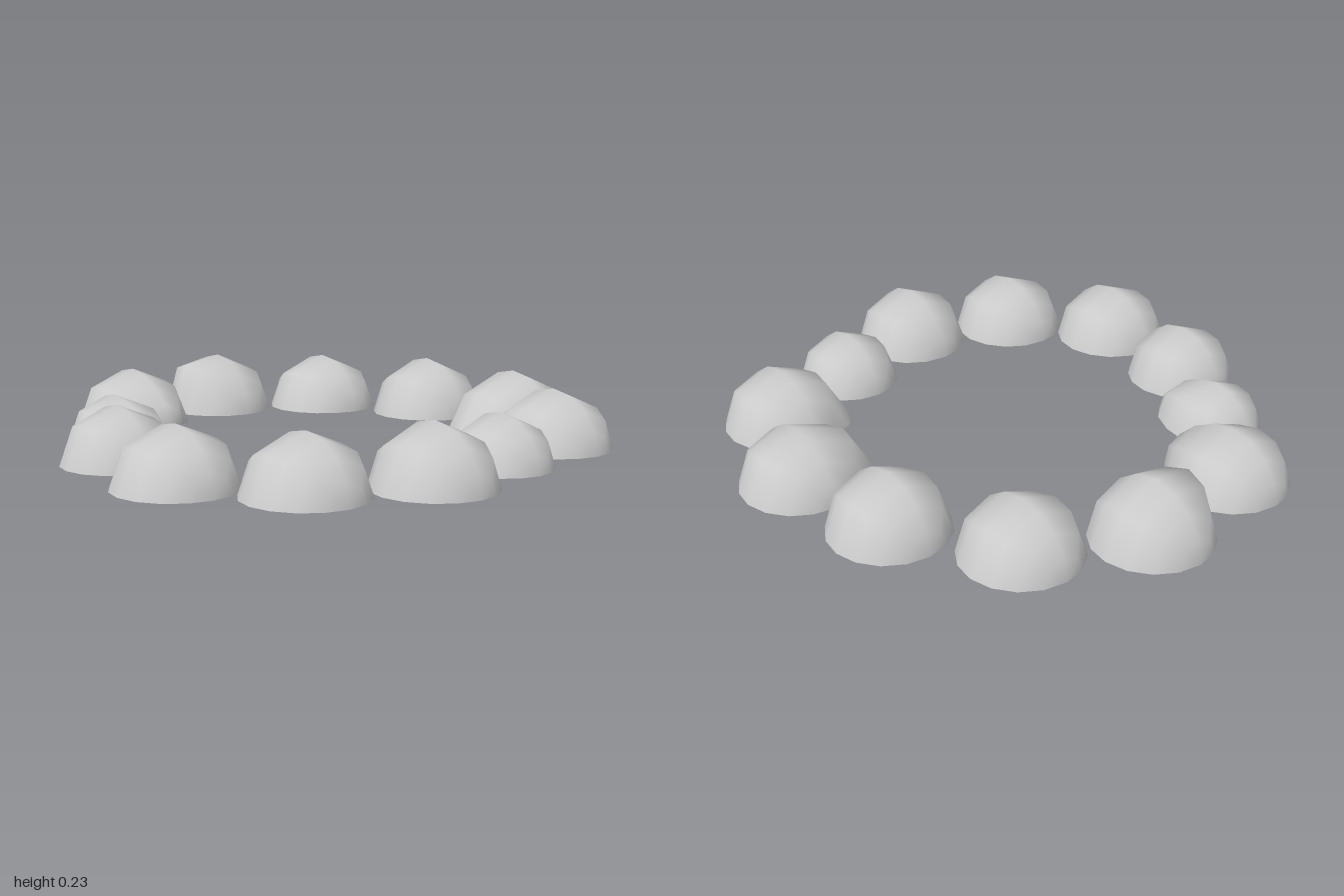
import * as THREE from 'three';
import { mergeVertices } from 'three/addons/utils/BufferGeometryUtils.js';

const BASE = 0.02;

// Each stone: centre x, z, radius, height, and optional soft pulls.
// A pull has a grab point and a move (both relative to the stone's centre) and a reach.
const STONES = [
  { x: -0.215, z: -0.73, r: 0.205, h: 0.21 },
  { x: 0.2, z: -0.78, r: 0.205, h: 0.205, pulls: [{ at: [0, 0, 0.205], move: [0, -0.02, 0.075], reach: 0.24 }] },
  { x: 0.575, z: -0.59, r: 0.208, h: 0.205, pulls: [{ at: [-0.08, 0, 0.19], move: [-0.04, 0, 0.015], reach: 0.14 }] },
  { x: 0.693, z: -0.22, r: 0.18, h: 0.18 },
  { x: 0.79, z: 0.155, r: 0.205, h: 0.21 },
  { x: 0.64, z: 0.53, r: 0.205, h: 0.2 },
  { x: 0.308, z: 0.77, r: 0.205, h: 0.2 },
  { x: -0.11, z: 0.72, r: 0.192, h: 0.195 },
  { x: -0.45, z: 0.53, r: 0.163, h: 0.165, pulls: [{ at: [0.15, 0.02, -0.06], move: [0.045, 0.015, -0.01], reach: 0.18 }] },
  { x: -0.735, z: 0.28, r: 0.205, h: 0.2, pulls: [{ at: [0.205, 0.03, 0], move: [0.028, 0.015, -0.01], reach: 0.16 }] },
  { x: -0.795, z: -0.147, r: 0.205, h: 0.21, pulls: [{ at: [0, 0.145, 0.145], move: [0, 0.035, 0.01], reach: 0.16 }] },
  { x: -0.59, z: -0.51, r: 0.205, h: 0.2 },
];

// Open half sphere lying on its side: poles along x, four wide facets over the top
function stoneGeometry({ r, h, pulls = [] }) {
  let geo = new THREE.SphereGeometry(r, 4, 8, 0, Math.PI);
  geo.deleteAttribute('uv');
  geo.deleteAttribute('normal');
  const pos = geo.attributes.position;
  const v = new THREE.Vector3();
  const moved = new THREE.Vector3();
  for (let i = 0; i < pos.count; i++) {
    v.set(pos.getY(i), pos.getZ(i) * h / r, pos.getX(i));
    moved.copy(v);
    for (const { at, move, reach } of pulls) {
      const d = v.distanceTo(new THREE.Vector3(...at)) / reach;
      const weight = d < 1 ? (1 - d * d) ** 1.2 : 0;
      moved.addScaledVector(new THREE.Vector3(...move), weight);
    }
    pos.setXYZ(i, moved.x, moved.y, moved.z);
  }
  geo = mergeVertices(geo, 1e-4);
  geo.computeVertexNormals();
  return geo;
}

export function createModel() {
  const group = new THREE.Group();
  group.name = 'stoneRing';
  const material = new THREE.MeshStandardMaterial({ color: 0xcccccc, side: THREE.DoubleSide });
  STONES.forEach((s, i) => {
    const stone = new THREE.Mesh(stoneGeometry(s), material);
    stone.name = `stone${i + 1}`;
    stone.position.set(s.x, BASE, s.z);
    group.add(stone);
  });
  return group;
}
